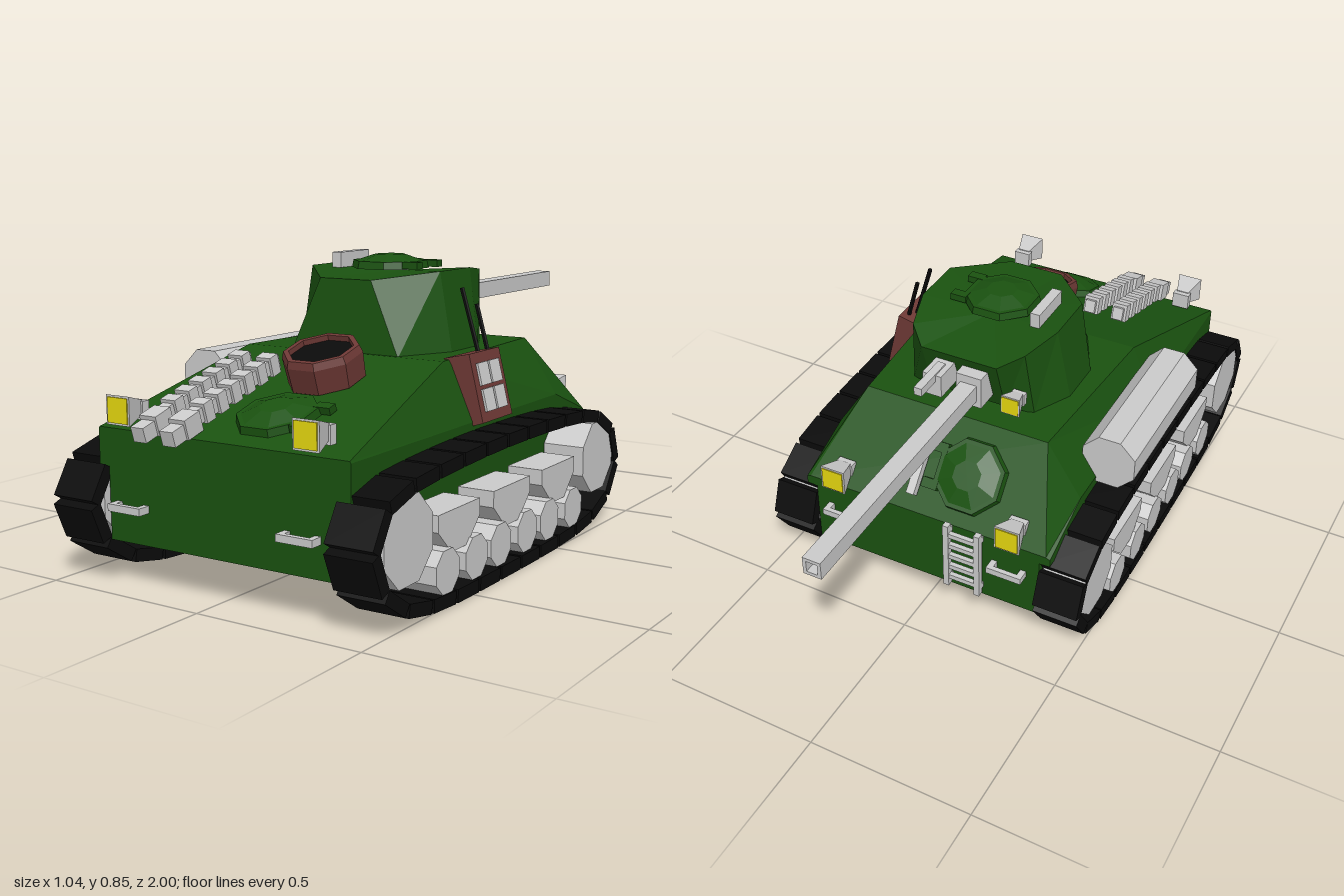
import * as THREE from 'three';

const mat = (color, extra = {}) =>
  new THREE.MeshStandardMaterial({ color, flatShading: true, ...extra });
const green = mat(0x1a5210), grey = mat(0xcccccc), black = mat(0x0b0b0b);
const red = mat(0x6e3935, { side: THREE.DoubleSide }), yellow = mat(0xe6d80f);

function add(parent, name, geo, material, pos = [0, 0, 0], rot = [0, 0, 0]) {
  const m = new THREE.Mesh(geo, material);
  m.name = name;
  m.position.set(...pos);
  m.rotation.set(...rot);
  parent.add(m);
  return m;
}

function sub(parent, name, pos = [0, 0, 0], rot = [0, 0, 0]) {
  const g = new THREE.Group();
  g.name = name;
  g.position.set(...pos);
  g.rotation.set(...rot);
  parent.add(g);
  return g;
}

const box = (w, h, d) => new THREE.BoxGeometry(w, h, d);
const prism = (rTop, rBottom, h, sides) =>
  new THREE.CylinderGeometry(rTop, rBottom, h, sides).rotateY(Math.PI / sides);

// Completes a half ring by mirroring it across x = 0
const mirrorRing = half => [...half, ...half.slice().reverse().map(([x, y, z]) => [-x, y, z])];

// Skins rings that run counterclockwise about the direction of the loft, with end caps
function loft(rings) {
  const pos = [], n = rings[0].length;
  const centre = r => [0, 1, 2].map(k => r.reduce((s, p) => s + p[k], 0) / n);
  for (let i = 0; i < n; i++) {
    const j = (i + 1) % n;
    for (let k = 0; k + 1 < rings.length; k++) {
      const a = rings[k], b = rings[k + 1];
      pos.push(...a[i], ...a[j], ...b[j], ...a[i], ...b[j], ...b[i]);
    }
    const s = rings[0], e = rings[rings.length - 1];
    pos.push(...centre(s), ...s[j], ...s[i], ...centre(e), ...e[i], ...e[j]);
  }
  const g = new THREE.BufferGeometry();
  g.setAttribute('position', new THREE.Float32BufferAttribute(pos, 3));
  g.computeVertexNormals();
  return g;
}

// Straight bar between two points
function bar(parent, name, a, b, r, material, sides = 4) {
  const p = new THREE.Vector3(...a), q = new THREE.Vector3(...b), d = q.clone().sub(p);
  const m = add(parent, name, prism(r, r, d.length(), sides), material);
  m.position.copy(p).add(q).multiplyScalar(0.5);
  m.quaternion.setFromUnitVectors(new THREE.Vector3(0, 1, 0), d.normalize());
}

// Octagonal hatch with a shallow dome and two hinges
function hatch(parent, name, pos, tilt) {
  const g = sub(parent, name, pos, [tilt, 0, 0]);
  add(g, 'hatchPlate', prism(0.11, 0.115, 0.022, 8), green, [0, 0.008, 0]);
  add(g, 'hatchDome', prism(0.045, 0.1, 0.018, 8), green, [0, 0.027, 0]);
  for (const z of [-0.055, 0.055]) add(g, 'hinge', box(0.05, 0.02, 0.03), green, [0.11, 0.01, z]);
}

// Flared square lamp facing +z, or -z when turned
function lamp(parent, name, pos, backward, size = 1) {
  const g = sub(parent, name, pos, [0, backward ? Math.PI : 0, 0]);
  g.scale.setScalar(size);
  add(g, 'lampHousing', prism(0.056, 0.028, 0.07, 4).rotateX(Math.PI / 2), grey);
  add(g, 'lampMount', box(0.055, 0.05, 0.025), grey, [0, -0.008, -0.04]);
  add(g, 'lampGlass', box(0.068, 0.068, 0.008), yellow, [0, 0, 0.034]);
}

function handle(parent, x, y, z, dir) {
  const g = sub(parent, 'grabHandle', [x, y, z]);
  add(g, 'handleBar', box(0.11, 0.02, 0.015), grey, [0, 0, dir * 0.03]);
  for (const s of [-1, 1]) add(g, 'handleEnd', box(0.018, 0.02, 0.035), grey, [s * 0.046, 0, dir * 0.015]);
}

// Running gear of one side
function runningGear(parent, side) {
  const g = sub(parent, side > 0 ? 'leftRunningGear' : 'rightRunningGear', [side * 0.44, 0, 0]);
  const path = [
    [0.976, 0.225], [0.94, 0.305], [0.87, 0.342], [0.756, 0.36], [0.27, 0.38], [-0.225, 0.356],
    [-0.343, 0.315], [-0.408, 0.2], [-0.375, 0.115], [-0.27, 0.055], [-0.14, 0.03], [0.33, 0.02],
    [0.756, 0.035], [0.885, 0.075], [0.955, 0.15]];
  const curve = new THREE.CatmullRomCurve3(path.map(([z, y]) => new THREE.Vector3(0, y, z)), true);
  const links = 26;
  for (let i = 0; i < links; i++) {
    const a = curve.getPointAt(i / links), b = curve.getPointAt(((i + 1) / links) % 1);
    const d = b.clone().sub(a);
    add(g, 'trackLink', box(0.138, 0.036, d.length() - 0.01), black,
      a.add(b).multiplyScalar(0.5).toArray(), [Math.atan2(-d.y, d.z), 0, 0]);
  }
  const wheel = (name, z, y, r) => {
    const geo = prism(r, r, 0.13, 8).rotateZ(Math.PI / 2);
    add(g, name, geo, grey, [0, y, z]);
  };
  wheel('rearWheel', 0.826, 0.225, 0.12);
  wheel('frontWheel', -0.27, 0.225, 0.115);
  for (const z of [0.64, 0.49, 0.355, 0.2, 0.06, -0.1]) wheel('roadWheel', z, 0.1, 0.062);
  // Suspension brackets above each pair of road wheels
  const outline = new THREE.Shape([[-0.107, 0.25], [-0.107, 0.205], [-0.04, 0.14], [0.04, 0.14],
    [0.107, 0.205], [0.107, 0.25]].map(p => new THREE.Vector2(...p)));
  const bracket = new THREE.ExtrudeGeometry(outline, { depth: 0.11, bevelEnabled: false })
    .translate(0, 0, -0.055).rotateY(Math.PI / 2);
  for (const z of [0.565, 0.275, -0.015]) add(g, 'bogieBracket', bracket, grey, [0, 0, z]);
}

export function createModel() {
  const root = new THREE.Group();
  root.name = 'tank';
  const tank = sub(root, 'body', [-0.003, 0, 0], [0, 0.0155, 0]);

  // Hull, from front plate to rear plate
  const section = (z, bottom, shoulder, top, halfTop) => mirrorRing([[0.37, bottom, z],
    [0.37, 0.32, z], [0.403, 0.32, z], [0.403, shoulder, z], [halfTop, top, z]]);
  add(tank, 'hull', loft([
    section(-0.38, 0.12, 0.345, 0.35, 0.39), section(-0.18, 0.12, 0.42, 0.585, 0.295),
    section(0.37, 0.12, 0.42, 0.585, 0.33), section(0.92, 0.12, 0.42, 0.425, 0.4)]), green);

  for (const s of [-1, 1]) {
    runningGear(tank, s);
    lamp(tank, 'rearLamp', [s * 0.3 - 0.008, 0.48, 0.91], false);
    lamp(tank, 'frontLamp', [s * 0.285, 0.4, -0.382], true);
    handle(tank, s * 0.275 - 0.015, 0.22, 0.92, 1);
    handle(tank, s * 0.275, 0.26, -0.38, -1);
  }

  // Turret
  const turret = sub(tank, 'turret');
  add(turret, 'turretShell', loft([
    mirrorRing([[0.18, 0.58, 0.36], [0.26, 0.58, 0.2], [0.26, 0.58, 0.05], [0.2, 0.58, -0.07], [0.12, 0.6, -0.1]]),
    mirrorRing([[0.085, 0.79, 0.35], [0.22, 0.81, 0.2], [0.22, 0.81, 0.03], [0.18, 0.795, -0.1], [0.12, 0.77, -0.16]])
  ]), green);
  hatch(turret, 'turretHatch', [0, 0.81, 0.115], 0);
  add(turret, 'periscope', box(0.03, 0.045, 0.15), grey, [-0.147, 0.827, 0.105]);
  lamp(turret, 'turretLamp', [-0.168, 0.66, -0.14], true, 0.75);
  add(turret, 'mantlet', box(0.08, 0.1, 0.08), grey, [-0.048, 0.69, -0.15]);

  // Hollow square gun barrel
  const tube = new THREE.Shape([[-1, -1], [1, -1], [1, 1], [-1, 1]].map(([x, y]) => new THREE.Vector2(x * 0.026, y * 0.026)));
  tube.holes.push(new THREE.Path([[-1, -1], [-1, 1], [1, 1], [1, -1]].map(([x, y]) => new THREE.Vector2(x * 0.016, y * 0.016))));
  add(turret, 'gunBarrel', new THREE.ExtrudeGeometry(tube, { depth: 0.88, bevelEnabled: false }), grey, [-0.048, 0.688, -1]);
  add(turret, 'machineGunMount', box(0.06, 0.07, 0.13), grey, [0.048, 0.705, -0.165]);
  add(turret, 'machineGunBarrel', box(0.025, 0.025, 0.14), grey, [0.048, 0.732, -0.24]);

  // Rear deck: hatch, exhausts and open tub, tilted with the slope
  const slope = 0.287;
  hatch(tank, 'rearHatch', [0.075, 0.472, 0.765], slope);
  for (const x of [-0.205, -0.108]) {
    const g = sub(tank, 'exhaust', [x, 0.517, 0.73], [slope, 0, 0]);
    add(g, 'exhaustPipe', box(0.034, 0.04, 0.4), grey, [0, 0, 0]);
    for (let i = 0; i < 6; i++) add(g, 'exhaustRib', box(0.05, 0.055, 0.035), grey, [0, 0.002, -0.17 + i * 0.058]);
    add(g, 'exhaustMuffler', box(0.055, 0.055, 0.06), grey, [0, -0.005, 0.19]);
    add(g, 'exhaustTip', box(0.042, 0.042, 0.05), grey, [0, -0.01, 0.24]);
  }
  const tub = sub(tank, 'openTub', [0.066, 0.582, 0.55], [slope, 0, 0]);
  const wall = [[0.088, -0.045], [0.108, -0.045], [0.112, 0.025], [0.105, 0.045], [0.09, 0.045], [0.088, -0.02]];
  add(tub, 'tubWall', new THREE.LatheGeometry(wall.map(p => new THREE.Vector2(...p)), 8).rotateY(Math.PI / 8), red);
  add(tub, 'tubInside', prism(0.092, 0.092, 0.06, 8), black, [0, 0, 0]);

  // Front slope: hatch, vision bar and ladder
  hatch(tank, 'frontHatch', [-0.105, 0.465, -0.285], -0.865);
  bar(tank, 'visionBar', [0.05, 0.53, -0.25], [0.05, 0.4, -0.365], 0.018, grey);
  const ladder = sub(tank, 'ladder', [-0.135, 0.25, -0.4]);
  for (const s of [-1, 1]) {
    add(ladder, 'ladderRail', box(0.018, 0.23, 0.02), grey, [s * 0.05, 0, 0]);
    for (const y of [-0.09, 0.09]) add(ladder, 'ladderBracket', box(0.018, 0.018, 0.03), grey, [s * 0.05, y, 0.012]);
  }
  for (let i = 0; i < 5; i++) add(ladder, 'ladderRung', box(0.1, 0.015, 0.015), grey, [0, -0.08 + i * 0.04, 0]);

  // Drum along the right side
  add(tank, 'sideDrum', prism(0.088, 0.088, 0.51, 8).rotateX(Math.PI / 2), grey, [-0.438, 0.485, 0.185]);

  // Radio box leaning on the left side, with a four-pane grille and two aerials
  const side = z => [[0.405, 0.41, z], [0.435, 0.42, z], [0.39, 0.605, z], [0.312, 0.588, z]];
  add(tank, 'radioBox', loft([side(0.165), side(0.335)]), red);
  const panel = sub(tank, 'radioPanel', [0.414, 0.512, 0.25], [0, 0, 0.239]);
  for (const y of [-0.036, 0.036]) for (const z of [-0.032, 0.032])
    add(panel, 'radioPane', box(0.01, 0.062, 0.056), grey, [0, y, z]);
  bar(tank, 'aerial', [0.362, 0.57, 0.22], [0.302, 0.77, 0.22], 0.007, black, 6);
  bar(tank, 'aerial', [0.378, 0.57, 0.195], [0.335, 0.725, 0.195], 0.007, black, 6);

  return root;
}
